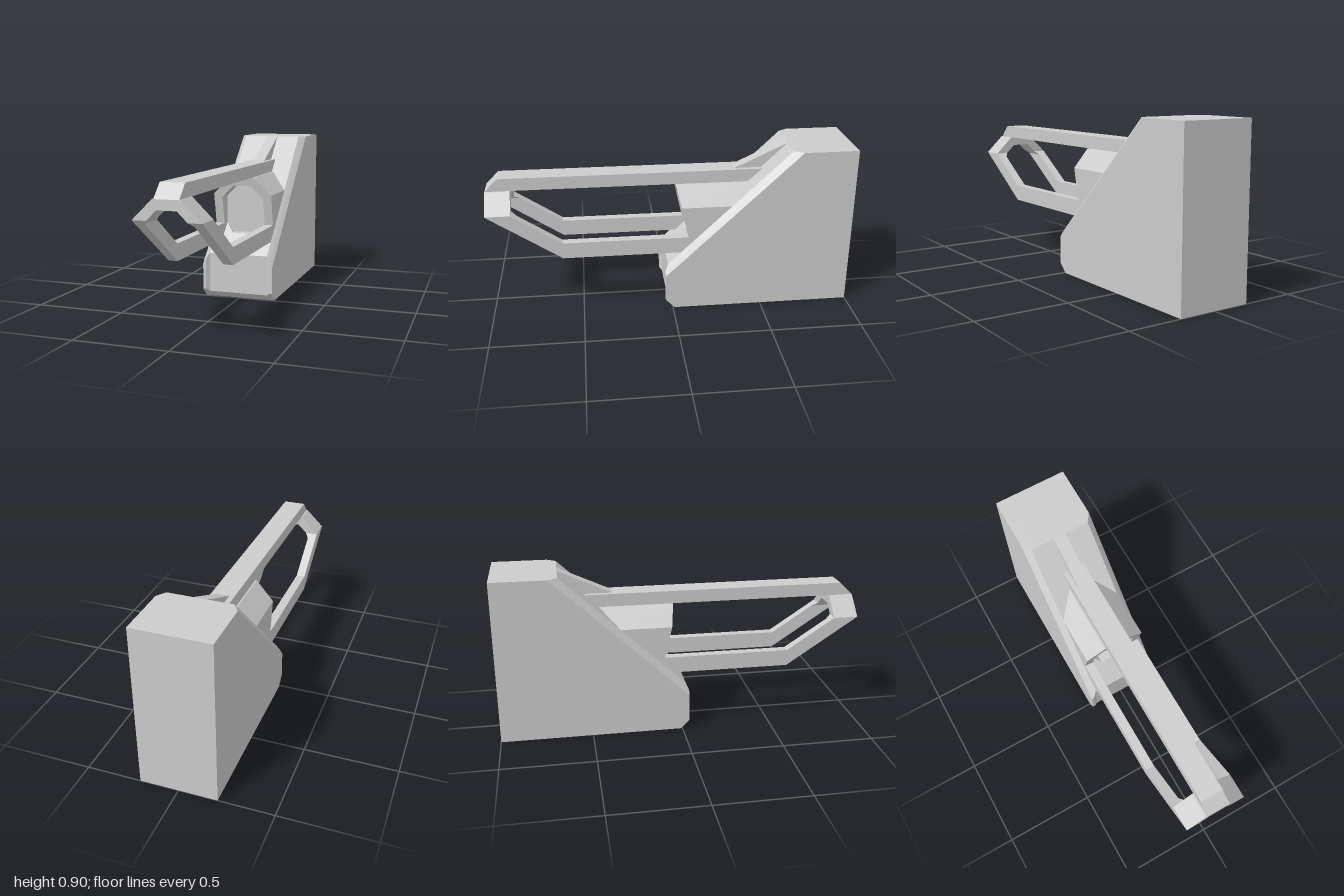
import * as THREE from 'three';

const material = new THREE.MeshStandardMaterial({ color: 0xcccccc, flatShading: true });

function addMesh(group, name, geometry) {
  const mesh = new THREE.Mesh(geometry, material);
  mesh.name = name;
  group.add(mesh);
}

// Closed solid skinned through rings of equal point count; the end caps are convex.
function loft(rings) {
  const pos = [];
  let volume = 0;
  const v = rings.map(r => r.map(p => new THREE.Vector3(...p)));
  const tris = [];
  const n = v[0].length;
  const tri = (a, b, c) => {
    const cross = b.clone().sub(a).cross(c.clone().sub(a));
    if (cross.length() < 1e-7) return;
    tris.push([a, b, c]);
    volume += a.dot(b.clone().cross(c));
  };
  for (let i = 0; i < v.length - 1; i++) {
    for (let j = 0; j < n; j++) {
      const k = (j + 1) % n;
      tri(v[i][j], v[i][k], v[i + 1][k]);
      tri(v[i][j], v[i + 1][k], v[i + 1][j]);
    }
  }
  const last = v[v.length - 1];
  for (let j = 1; j < n - 1; j++) {
    tri(v[0][0], v[0][j + 1], v[0][j]);
    tri(last[0], last[j], last[j + 1]);
  }
  for (const [a, b, c] of tris) {
    for (const p of volume < 0 ? [a, c, b] : [a, b, c]) pos.push(p.x, p.y, p.z);
  }
  const g = new THREE.BufferGeometry();
  g.setAttribute('position', new THREE.Float32BufferAttribute(pos, 3));
  g.computeVertexNormals();
  return g;
}

// Side profile of [z, y] points, given a width across x.
const slab = (profile, halfWidth) =>
  loft([-halfWidth, halfWidth].map(x => profile.map(([z, y]) => [x, y, z])));

// Front outline from its +x half, mirrored, extruded from z0 to z1.
function mirrored(half) {
  return [...half, ...half.slice().reverse().map(([x, y]) => [-x, y])];
}
function frontExtrude(outline, z0, z1) {
  const shape = new THREE.Shape(outline.map(p => new THREE.Vector2(...p)));
  return new THREE.ExtrudeGeometry(shape, { depth: z1 - z0, bevelEnabled: false }).translate(0, 0, z0);
}
const arch = (outer, inner) => {
  const o = mirrored(outer), i = mirrored(inner);
  return [...o, ...i.reverse()];
};

// Body section at one x: front panel, slope with a notch, top and back.
function bodySection(x, frontZ, chinY, slopeY, topZ, notchY) {
  const slopeZ = y => frontZ + (topZ - frontZ) * (y - slopeY) / (0.9 - slopeY);
  const wallY = 0.4164;
  const wallZ = slopeZ(wallY);
  return [
    [-1, 0], [-0.01, 0], [frontZ, chinY], [frontZ, slopeY],
    [slopeZ(notchY), notchY], [wallZ, notchY], [wallZ, wallY],
    [topZ, 0.9], [-1, 0.9],
  ].map(([z, y]) => [x, y, z]);
}

export function createModel() {
  const group = new THREE.Group();
  group.name = 'slopedBlockWithFrame';

  // Sloped block with bevelled rims and a small notch in the slope
  const half = [
    [0.207, 0.04, 0.05, 0.2, -0.70, 0.4164],
    [0.19, 0.04, 0.05, 0.225, -0.675, 0.4164],
    [0.172, 0.025, 0.035, 0.26, -0.65, 0.4164],
    [0.122, 0.025, 0.035, 0.26, -0.65, 0.4164],
    [0.07, 0.025, 0.035, 0.26, -0.65, 0.365],
  ];
  const other = half.slice().reverse().map(([x, ...rest]) => [-x, ...rest]);
  addMesh(group, 'body', loft([...half, ...other].map(s => bodySection(...s))));

  // Hood standing out of the slope, its front edge leaning back downwards
  const hood = frontExtrude(arch(
    [[0.172, 0.41], [0.172, 0.595], [0.07, 0.695]],
    [[0.122, 0.41], [0.122, 0.575], [0.05, 0.645]]), -0.45, 0);
  const p = hood.attributes.position;
  for (let i = 0; i < p.count; i++) {
    if (p.getZ(i) > -0.1) p.setZ(i, -0.03 - (0.695 - p.getY(i)) * 0.218);
  }
  hood.computeVertexNormals();
  addMesh(group, 'hood', hood);
  addMesh(group, 'hoodBackWall', frontExtrude(mirrored(
    [[0.122, 0.4164], [0.122, 0.575], [0.05, 0.645]]), -0.2, -0.14));

  // Top rail with chamfered tip, and the rib behind it
  addMesh(group, 'topRail', slab(
    [[-0.508, 0.765], [-0.508, 0.695], [1, 0.695], [0.93, 0.765]], 0.0625));
  addMesh(group, 'rib', slab([[-0.36, 0.765], [-0.65, 0.9], [-0.51, 0.765]], 0.035));

  // Arched nose joining the rail to the arms
  addMesh(group, 'nose', frontExtrude(arch(
    [[0.172, 0.595], [0.07, 0.695]],
    [[0.101, 0.595], [0.05, 0.645]]), 0.865, 1));

  // Lower arms: straight, then rising to the nose
  const arm = [ // lower z, lower y, upper z, upper y, inner x
    [-0.2, 0.33, -0.2, 0.42, 0.122],
    [0.6, 0.33, 0.6, 0.42, 0.122],
    [0.97, 0.575, 0.835, 0.575, 0.122],
    [1, 0.595, 0.865, 0.595, 0.101],
  ];
  for (const [name, s] of [['leftArm', 1], ['rightArm', -1]]) {
    addMesh(group, name, loft(arm.map(([z0, y0, z1, y1, inner]) => [
      [s * inner, y0, z0], [s * 0.172, y0, z0], [s * 0.172, y1, z1], [s * inner, y1, z1],
    ])));
  }
  return group;
}
